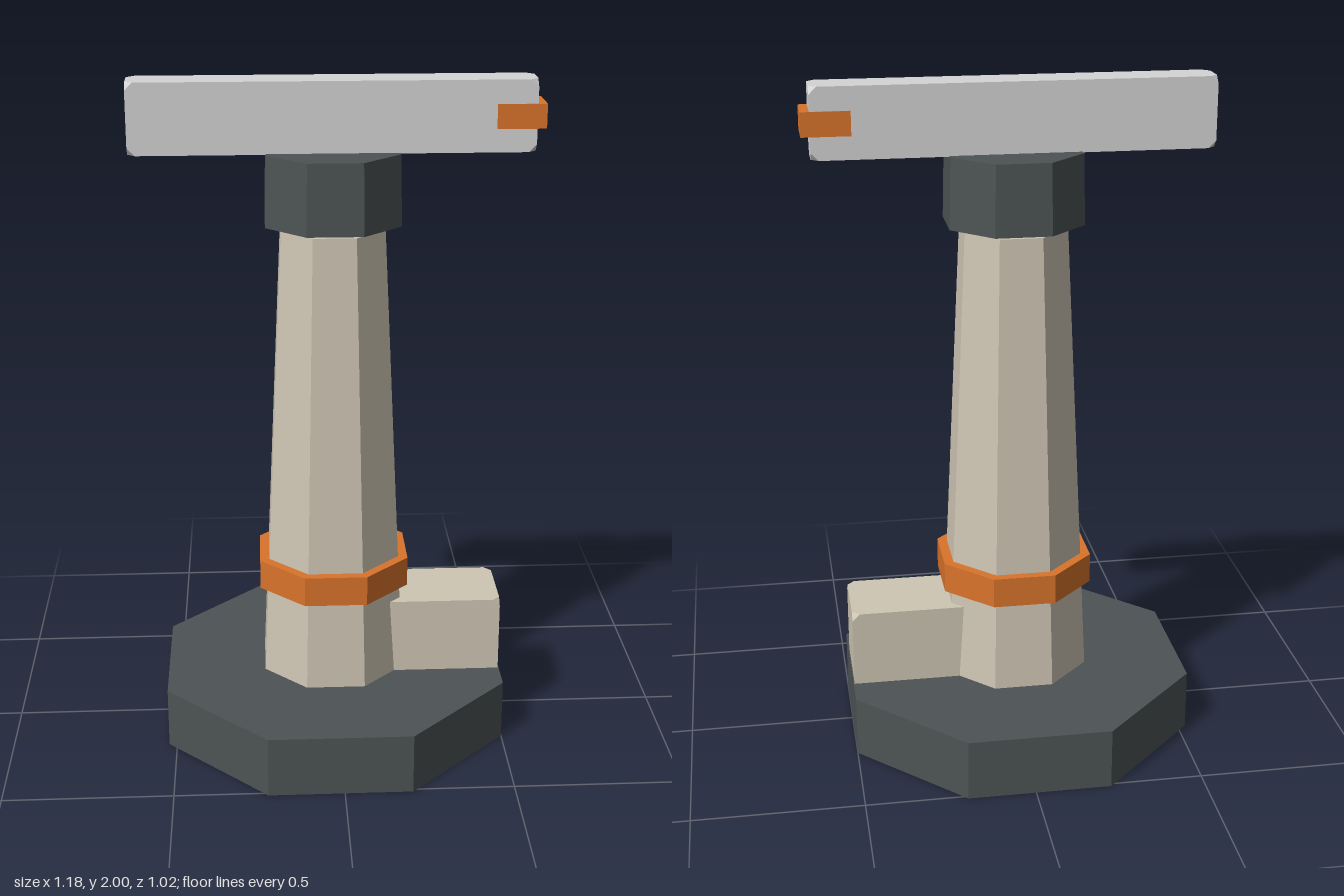
import * as THREE from 'three';
import { ConvexGeometry } from 'three/addons/geometries/ConvexGeometry.js';

const mat = (name, color) => {
  const m = new THREE.MeshStandardMaterial({ color });
  m.name = name;
  return m;
};

// Eight-sided prism with flat sides facing the axes, sized by half-width across flats
function octagon(bottom, top, y0, y1) {
  const k = 1 / Math.cos(Math.PI / 8);
  const g = new THREE.CylinderGeometry(top * k, bottom * k, y1 - y0, 8).toNonIndexed();
  g.rotateY(Math.PI / 8);
  g.translate(-0.012, (y0 + y1) / 2, 0);
  g.computeVertexNormals();
  return g;
}

// Box with its eight corners cut off
function cutBox(x0, x1, y0, y1, halfZ, cut) {
  const points = [];
  for (const sx of [-1, 1]) for (const sy of [-1, 1]) for (const sz of [-1, 1]) {
    const corner = new THREE.Vector3(sx > 0 ? x1 : x0, sy > 0 ? y1 : y0, sz * halfZ);
    points.push(
      corner.clone().add(new THREE.Vector3(-sx * cut, 0, 0)),
      corner.clone().add(new THREE.Vector3(0, -sy * cut, 0)),
      corner.clone().add(new THREE.Vector3(0, 0, -sz * cut)));
  }
  return new ConvexGeometry(points);
}

export function createModel() {
  const group = new THREE.Group();
  const dark = mat('dark slate', 0x4d5354);
  const stone = mat('warm stone', 0xcfc6b4);
  const orange = mat('orange', 0xd9742b);
  const grey = mat('light grey', 0xd4d4d4);

  const add = (name, geometry, material) => {
    const mesh = new THREE.Mesh(geometry, material);
    mesh.name = name;
    group.add(mesh);
  };

  // Tower
  add('base', octagon(0.512, 0.512, 0, 0.185), dark);
  add('column', octagon(0.213, 0.15, 0.18, 1.575), stone);
  add('columnBand', octagon(0.224, 0.224, 0.467, 0.558), orange);
  add('cap', octagon(0.195, 0.19, 1.59, 1.797), dark);

  // Block beside the column
  add('sideBlock', cutBox(0.05, 0.497, 0.15, 0.42, 0.116, 0.022), stone);

  // Beam on top and its coloured end
  add('beam', cutBox(-0.59, 0.564, 1.795, 2, 0.058, 0.022), grey);
  const tip = new THREE.BoxGeometry(0.14, 0.07, 0.123);
  tip.translate(0.52, 1.897, 0);
  add('beamTip', tip, orange);

  return group;
}
